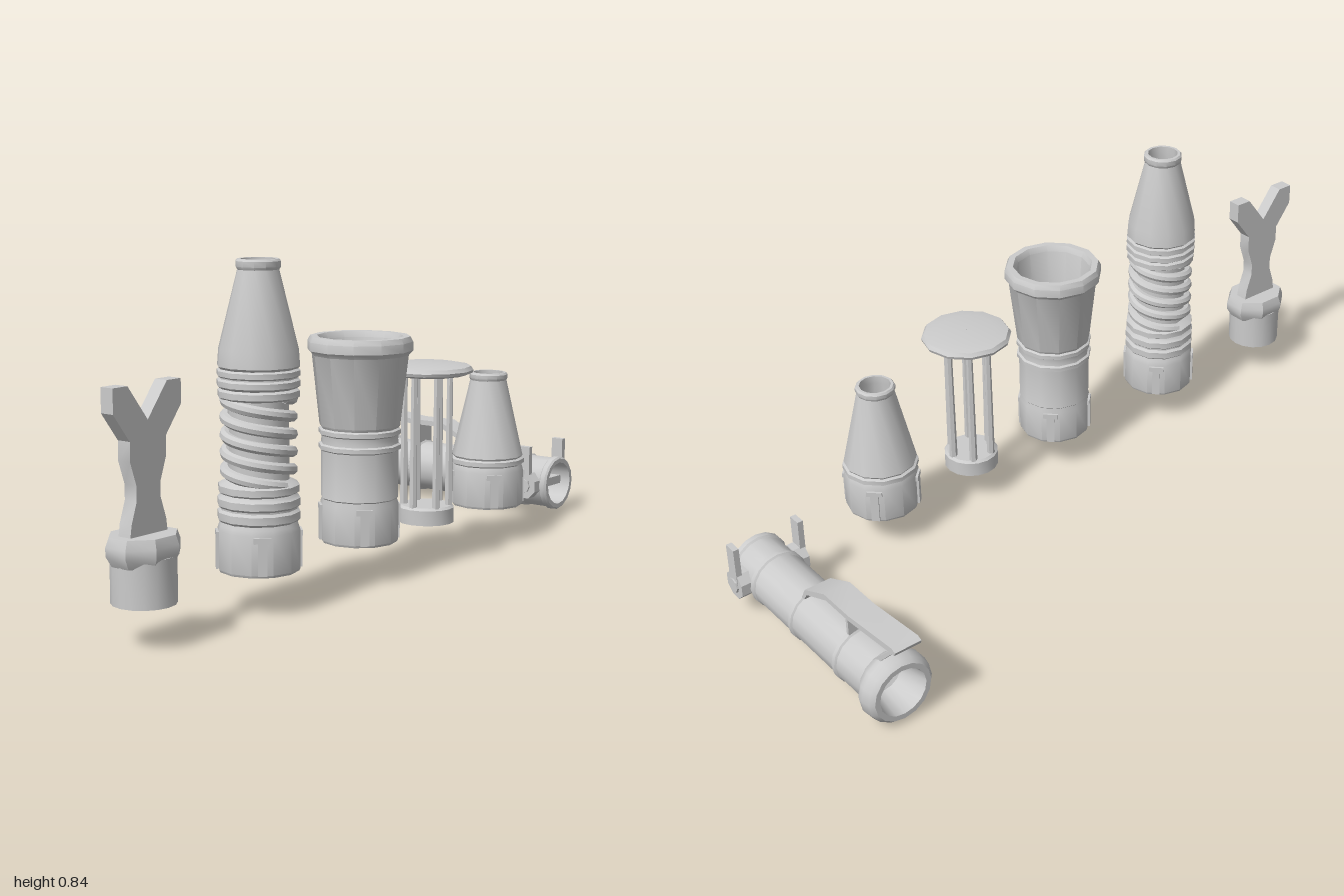
import * as THREE from 'three';
import { toCreasedNormals } from 'three/addons/utils/BufferGeometryUtils.js';

const mat = new THREE.MeshStandardMaterial({ color: 0xcccccc, side: THREE.DoubleSide });
const ROW_Z = 0.286;

function add(parent, name, geo, x = 0, y = 0, z = 0) {
  const mesh = new THREE.Mesh(toCreasedNormals(geo, 0.62), mat);
  mesh.name = name;
  mesh.position.set(x, y, z);
  parent.add(mesh);
  return mesh;
}

const box = (w, h, d) => new THREE.BoxGeometry(w, h, d);

// Closed lathe: [radius, height] pairs, outside upward and inside downward
function lathe(points, sides = 12, start = 0) {
  const pts = points.map(([r, y]) => new THREE.Vector2(r, y));
  return new THREE.LatheGeometry(pts, sides, start);
}

// Raised band in a profile
const band = (y, base, out, h = 0.018) => [[base, y - h / 2], [out, y - h * 0.3], [out, y + h * 0.3], [base, y + h / 2]];

function group(parent, name, x) {
  const g = new THREE.Group();
  g.name = name;
  g.position.set(x, 0, ROW_Z);
  parent.add(g);
  return g;
}

// Four coupling lugs around the foot of an attachment
function addLugs(parent) {
  for (let i = 0; i < 4; i++) {
    const pivot = new THREE.Group();
    pivot.name = 'couplingLug';
    pivot.rotation.y = Math.PI / 4 + i * Math.PI / 2;
    add(pivot, 'lugPost', box(0.022, 0.085, 0.018), 0, 0.148, 0.094);
    add(pivot, 'lugHead', box(0.042, 0.014, 0.018), 0, 0.19, 0.094);
    parent.add(pivot);
  }
}

function buildFork(root) {
  const g = group(root, 'forkAttachment', -0.893);
  add(g, 'forkSocket', lathe([[0.066, 0.1], [0.075, 0.1], [0.075, 0.21], [0.066, 0.21], [0.066, 0.1]], 16));
  const k = 1 / Math.cos(Math.PI / 8);
  const collar = lathe([[0.074, 0.19], [0.088, 0.215], [0.088, 0.235], [0.08, 0.257], [0.001, 0.257]]
    .map(([r, y]) => [r * k, y]), 8, Math.PI / 8);
  collar.scale(1, 1, 0.84);
  add(g, 'forkCollar', collar);
  // Half outline of the blade, mirrored
  const half = [[0.06, 0.25], [0.055, 0.285], [0.038, 0.335], [0.038, 0.37], [0.057, 0.425],
    [0.057, 0.47], [0.107, 0.535], [0.107, 0.592], [0.062, 0.592]];
  const outline = [...half, [0, 0.512], ...half.map(([x, y]) => [-x, y]).reverse()];
  const blade = new THREE.ExtrudeGeometry(new THREE.Shape(outline.map(p => new THREE.Vector2(...p))),
    { depth: 0.036, bevelEnabled: false });
  add(g, 'forkBlade', blade, 0, 0, -0.018);
}

const foot = [[0.078, 0.1], [0.097, 0.1], [0.1, 0.106], [0.1, 0.2], [0.096, 0.212]];

function buildSpringNozzle(root) {
  const g = group(root, 'springNozzle', -0.497);
  add(g, 'springNozzleBody', lathe([...foot,
    ...band(0.235, 0.093, 0.1, 0.03), ...band(0.268, 0.093, 0.1, 0.028), ...band(0.3, 0.09, 0.098, 0.026),
    [0.073, 0.32], [0.073, 0.51],
    ...band(0.525, 0.09, 0.098, 0.024), ...band(0.55, 0.093, 0.1, 0.022), ...band(0.574, 0.093, 0.1, 0.02),
    [0.099, 0.59], [0.096, 0.63], [0.05, 0.815], [0.054, 0.822], [0.054, 0.835], [0.05, 0.84],
    [0.042, 0.84], [0.042, 0.81], [0.068, 0.6], [0.066, 0.3], [0.078, 0.1]]));
  // Two intertwined coils
  for (let s = 0; s < 2; s++) {
    const pts = [];
    for (let i = 0; i <= 40; i++) {
      const t = i / 40, a = s * Math.PI - t * Math.PI * 2 * 2.5;
      pts.push(new THREE.Vector3(0.079 * Math.sin(a), 0.31 + 0.21 * t, 0.079 * Math.cos(a)));
    }
    add(g, 'springCoil', new THREE.TubeGeometry(new THREE.CatmullRomCurve3(pts), 90, 0.014, 8));
  }
  addLugs(g);
}

function buildWideNozzle(root) {
  const g = group(root, 'wideNozzle', -0.1);
  add(g, 'wideNozzleBody', lathe([...foot, [0.099, 0.215], [0.099, 0.33],
    ...band(0.345, 0.099, 0.105), [0.098, 0.365], ...band(0.384, 0.099, 0.105),
    [0.103, 0.4], [0.123, 0.578], [0.134, 0.59], [0.134, 0.612], [0.127, 0.625],
    [0.11, 0.625], [0.102, 0.61], [0.085, 0.4], [0.084, 0.2], [0.078, 0.1]]));
  addLugs(g);
}

function buildDiscNozzle(root) {
  const g = group(root, 'discNozzle', 0.198);
  add(g, 'discSocket', lathe([[0.064, 0.1], [0.075, 0.1], [0.075, 0.14], [0.068, 0.146], [0.001, 0.146]], 16));
  add(g, 'deflectorDisc', lathe([[0.001, 0.49], [0.1, 0.496], [0.119, 0.502], [0.122, 0.51], [0.115, 0.52], [0.08, 0.526], [0.001, 0.527]]));
  // Ring of slender posts
  for (let i = 0; i < 6; i++) {
    const a = (i + 0.5) * Math.PI / 3;
    const post = new THREE.CylinderGeometry(0.0085, 0.011, 0.36, 6);
    add(g, 'discPost', post, 0.06 * Math.cos(a + Math.PI / 6), 0.32, 0.06 * Math.sin(a + Math.PI / 6));
  }
}

function buildConeNozzle(root) {
  const g = group(root, 'coneNozzle', 0.495);
  add(g, 'coneNozzleBody', lathe([...foot, ...band(0.225, 0.095, 0.102, 0.02),
    [0.098, 0.24], [0.05, 0.45], [0.053, 0.456], [0.053, 0.466], [0.049, 0.471],
    [0.042, 0.471], [0.042, 0.45], [0.078, 0.235], [0.078, 0.1]]));
  addLugs(g);
}

function buildHandle(root) {
  const g = new THREE.Group();
  g.name = 'nozzleHandle';
  g.position.set(0.89, 0.096, 0);
  root.add(g);
  // Barrel with bell at the back, hollow at both ends
  const barrel = lathe([[0.001, -0.27], [0.05, -0.3], [0.066, -0.384], [0.08, -0.384], [0.09, -0.372], [0.0945, -0.35],
    [0.0945, -0.338], [0.088, -0.325], [0.0745, -0.308],
    ...band(-0.2, 0.0745, 0.079), ...band(0, 0.0745, 0.079), ...band(0.178, 0.0745, 0.079, 0.02),
    [0.0745, 0.262], [0.079, 0.267], [0.079, 0.281], [0.074, 0.286],
    [0.062, 0.286], [0.062, 0.15], [0.001, 0.15]], 16);
  barrel.rotateX(Math.PI / 2);
  add(g, 'barrel', barrel);
  add(g, 'valvePlate', box(0.13, 0.024, 0.06), 0, 0, 0.225);

  // Valve pivots and their upright levers
  for (const s of [-1, 1]) {
    const pivot = new THREE.CylinderGeometry(0.04, 0.04, 0.035, 8);
    pivot.rotateY(Math.PI / 8).rotateZ(Math.PI / 2);
    add(g, 'valvePivot', pivot, s * 0.083, 0, 0.226);
    const cap = new THREE.CylinderGeometry(0.021, 0.021, 0.012, 8);
    cap.rotateZ(Math.PI / 2);
    add(g, 'pivotCap', cap, s * 0.1, 0, 0.226);
    add(g, 'valveLever', box(0.016, 0.118, 0.036), s * 0.094, 0.058, 0.226);
  }

  // Side profile in (z, y), extruded across x
  const strip = (name, pts, width, x = 0) => {
    const geo = new THREE.ExtrudeGeometry(new THREE.Shape(pts.map(([z, y]) => new THREE.Vector2(-z, y - 0.096))),
      { depth: width, bevelEnabled: false });
    geo.translate(0, 0, -width / 2).rotateY(Math.PI / 2);
    add(g, name, geo, x);
  };
  strip('triggerLever', [[-0.004, 0.165], [-0.015, 0.165], [-0.03, 0.188], [-0.122, 0.228], [-0.225, 0.228],
    [-0.415, 0.248], [-0.419, 0.258], [-0.405, 0.264], [-0.222, 0.243], [-0.115, 0.243], [-0.022, 0.199]], 0.074);
  strip('triggerPost', [[-0.196, 0.165], [-0.205, 0.165], [-0.205, 0.232], [-0.196, 0.232]], 0.06);
  for (const s of [-1, 1])
    strip('triggerStrut', [[-0.312, 0.168], [-0.345, 0.184], [-0.407, 0.25], [-0.398, 0.251]], 0.012, s * 0.027);
}

export function createModel() {
  const root = new THREE.Group();
  root.name = 'sprayHandleWithAttachments';
  buildFork(root);
  buildSpringNozzle(root);
  buildWideNozzle(root);
  buildDiscNozzle(root);
  buildConeNozzle(root);
  buildHandle(root);
  return root;
}
